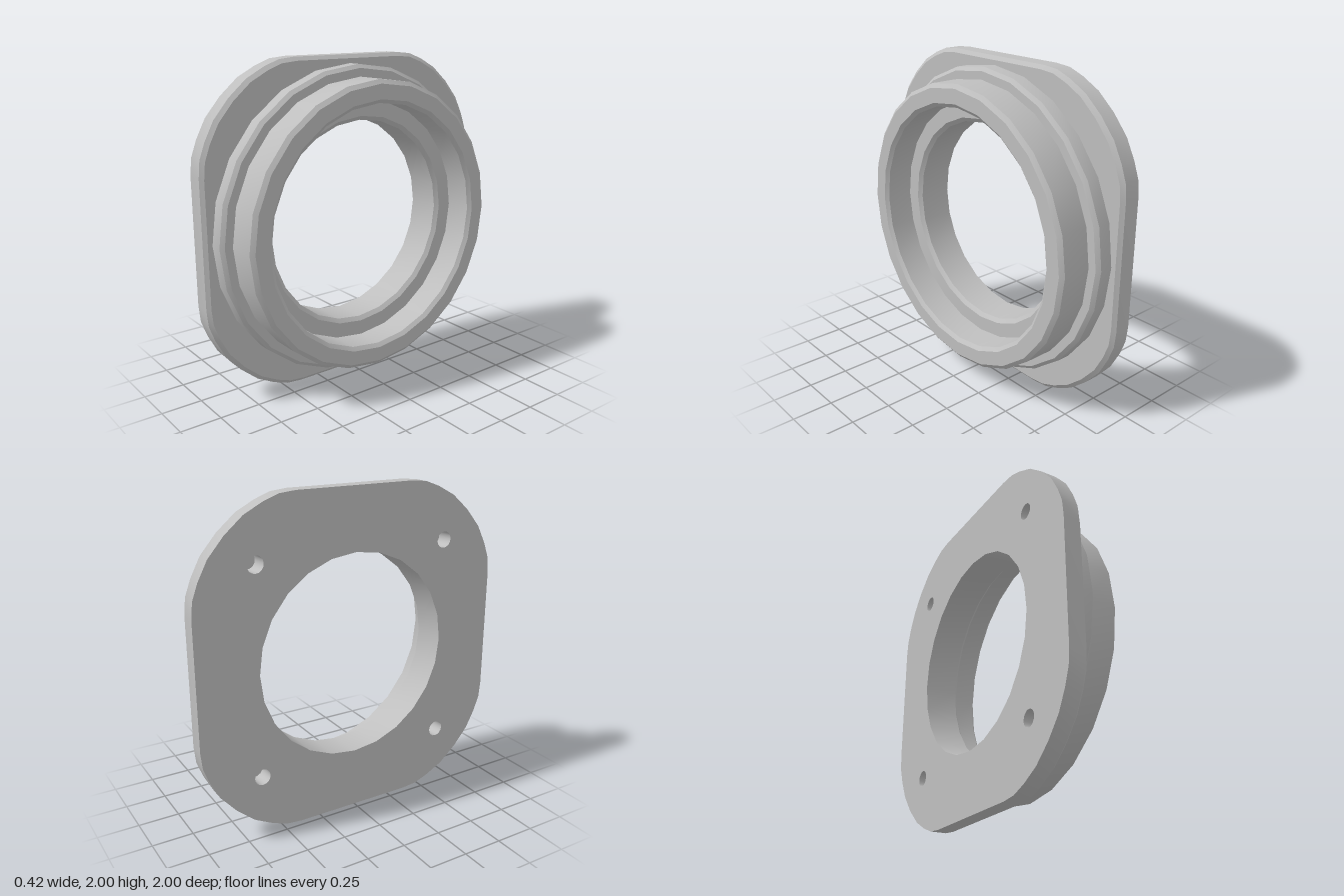
import * as THREE from 'three';
import { toCreasedNormals } from 'three/addons/utils/BufferGeometryUtils.js';

const SIDES = 24, CREASE = 0.6;
const BACK = -0.21, PLATE_EDGE = -0.11, PLATE_FRONT = -0.09;

// Revolve [radius, z] pairs about the z axis
function turned(profile, sides) {
  const geo = new THREE.LatheGeometry(profile.map(([r, z]) => new THREE.Vector2(r, z)), sides);
  geo.rotateX(Math.PI / 2);
  return toCreasedNormals(geo, CREASE);
}

function circle(r, sides, cx = 0, cy = 0) {
  return Array.from({ length: sides }, (_, i) => {
    const a = (i / sides) * Math.PI * 2;
    return new THREE.Vector2(cx + r * Math.cos(a), cy + r * Math.sin(a));
  });
}

// Square with bulging, softly blended corners: one corner turned four times
function plateOutline(scale) {
  const corner = [[1, 0.38], [0.99, 0.48], [0.955, 0.575], [0.896, 0.688], [0.8, 0.8],
    [0.688, 0.896], [0.575, 0.955], [0.48, 0.99], [0.38, 1]];
  const pts = [];
  for (let q = 0; q < 4; q++) {
    for (const [x, y] of corner) {
      pts.push(new THREE.Vector2(x, y).rotateAround(new THREE.Vector2(), q * Math.PI / 2)
        .multiplyScalar(scale));
    }
  }
  return pts;
}

// Wall through a stack of matching outlines, listed from back to front
function wall(layers) {
  const pos = [];
  for (let k = 0; k < layers.length - 1; k++) {
    const lo = layers[k], hi = layers[k + 1], n = lo.pts.length;
    for (let i = 0; i < n; i++) {
      const j = (i + 1) % n;
      const a = [lo.pts[i].x, lo.pts[i].y, lo.z], b = [lo.pts[j].x, lo.pts[j].y, lo.z];
      const c = [hi.pts[j].x, hi.pts[j].y, hi.z], d = [hi.pts[i].x, hi.pts[i].y, hi.z];
      pos.push(...a, ...b, ...c, ...a, ...c, ...d);
    }
  }
  const geo = new THREE.BufferGeometry();
  geo.setAttribute('position', new THREE.Float32BufferAttribute(pos, 3));
  return toCreasedNormals(geo, CREASE);
}

function face(outline, holes) {
  const shape = new THREE.Shape(outline);
  holes.forEach((h) => shape.holes.push(new THREE.Path(h)));
  return new THREE.ShapeGeometry(shape);
}

export function createModel() {
  const metal = new THREE.MeshStandardMaterial({ color: 0xbfbfbf });
  metal.name = 'grey metal';
  const flange = new THREE.Group();
  flange.name = 'flange';
  const add = (name, geo) => {
    const mesh = new THREE.Mesh(geo, metal);
    mesh.name = name;
    flange.add(mesh);
    return mesh;
  };

  // Mounting plate with a bevelled front edge
  const full = plateOutline(1), inset = plateOutline(0.978);
  const bolts = [[1, 1], [-1, 1], [-1, -1], [1, -1]].map(([x, y]) => [x * 0.63, y * 0.63]);
  add('plateEdge', wall([
    { pts: full, z: BACK }, { pts: full, z: PLATE_EDGE }, { pts: inset, z: PLATE_FRONT }]));
  add('plateFront', face(inset, [circle(0.95, SIDES)])).position.z = PLATE_FRONT;
  const back = face(full, [circle(0.625, SIDES), ...bolts.map(([x, y]) => circle(0.05, 16, x, y))]);
  back.rotateY(Math.PI);
  add('plateBack', back).position.z = BACK;

  // Blind bolt holes in the back
  for (const [x, y] of bolts) {
    add('boltHole', turned([[0, -0.1], [0.05, -0.1], [0.05, BACK]], 16)).position.set(x, y, 0);
  }

  // Collar, projecting tube and stepped bore, with chamfered rims
  add('collarAndBore', turned([
    [0.95, PLATE_FRONT], [0.95, -0.01], [0.928, 0.01],
    [0.878, 0.01], [0.878, 0.19], [0.853, 0.21],
    [0.765, 0.21], [0.742, 0.19], [0.742, 0.02],
    [0.65, 0.02], [0.625, 0], [0.625, BACK]], SIDES));

  // The bore axis runs along x
  flange.rotation.y = Math.PI / 2;
  flange.position.y = 1;
  const model = new THREE.Group();
  model.name = 'model';
  model.add(flange);
  return model;
}
